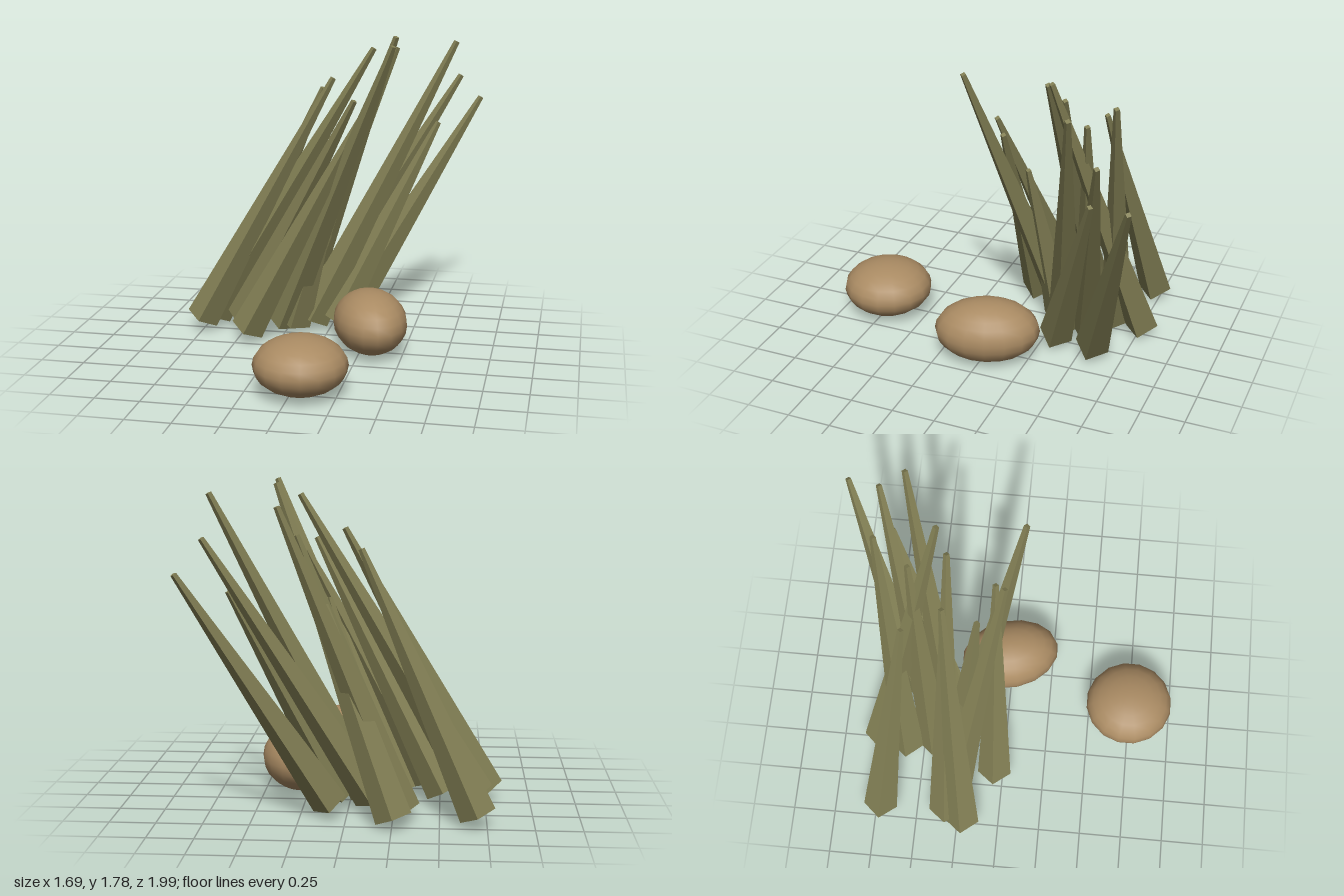
import * as THREE from 'three';

const reedMaterial = new THREE.MeshStandardMaterial({ color: 0x827f54, flatShading: true });
reedMaterial.name = 'dry olive reed';
const stoneMaterial = new THREE.MeshStandardMaterial({ color: 0xaa8b63 });
stoneMaterial.name = 'tan stone';

// Each reed: base centre, then tip centre
const REEDS = [
  [[-0.70, 0.07, -0.72], [-0.08, 1.45, -0.57]],
  [[-0.755, 0.075, -0.215], [0.02, 1.54, -0.36]],
  [[-0.70, 0.075, -0.32], [0.26, 1.72, -0.35]],
  [[-0.26, 0.06, -0.77], [0.38, 1.78, -0.415]],
  [[-0.27, 0.06, -0.28], [0.43, 1.78, 0.055]],
  [[-0.10, 0.07, -0.34], [0.71, 1.74, -0.62]],
  [[-0.13, 0.08, -0.46], [0.725, 1.52, -0.78]],
  [[0.09, 0.08, -0.58], [0.83, 1.36, -0.98]],
  [[0.04, 0.07, -0.34], [0.60, 1.24, -0.71]],
  [[-0.52, 0.07, -0.28], [0.20, 1.46, -0.04]],
  [[-0.435, 0.075, -0.05], [0.25, 1.39, -0.095]],
  [[-0.20, 0.06, -0.28], [0.12, 1.14, -0.19]],
  [[-0.30, 0.06, -0.60], [0.34, 1.68, -0.75]],
  [[-0.27, 0.06, -0.44], [0.26, 1.52, -0.57]],
];

// Four-sided tapered stalk leaning from base to tip
function makeReed([base, tip]) {
  const from = new THREE.Vector3(...base);
  const to = new THREE.Vector3(...tip);
  const axis = to.clone().sub(from);
  const reed = new THREE.Mesh(
    new THREE.CylinderGeometry(0.017, 0.1, axis.length(), 4), reedMaterial);
  reed.position.copy(from).add(to).multiplyScalar(0.5);
  reed.quaternion.setFromUnitVectors(new THREE.Vector3(0, 1, 0), axis.normalize());
  return reed;
}

// Flattened, smooth pebble
function makeStone(name, position, radii, turn) {
  const stone = new THREE.Mesh(new THREE.SphereGeometry(1, 16, 12), stoneMaterial);
  stone.name = name;
  stone.position.set(...position);
  stone.scale.set(...radii);
  stone.rotation.y = turn;
  return stone;
}

export function createModel() {
  const model = new THREE.Group();
  model.name = 'reedsAndStones';

  const clump = new THREE.Group();
  clump.name = 'reedClump';
  REEDS.forEach((ends, i) => {
    const reed = makeReed(ends);
    reed.name = `reed${i + 1}`;
    clump.add(reed);
  });
  model.add(clump);

  model.add(makeStone('frontStone', [0.055, 0.172, 0.738], [0.257, 0.157, 0.262], 0.2));
  model.add(makeStone('rearStone', [0.305, 0.185, -0.018], [0.212, 0.181, 0.302], 0.307));
  return model;
}
